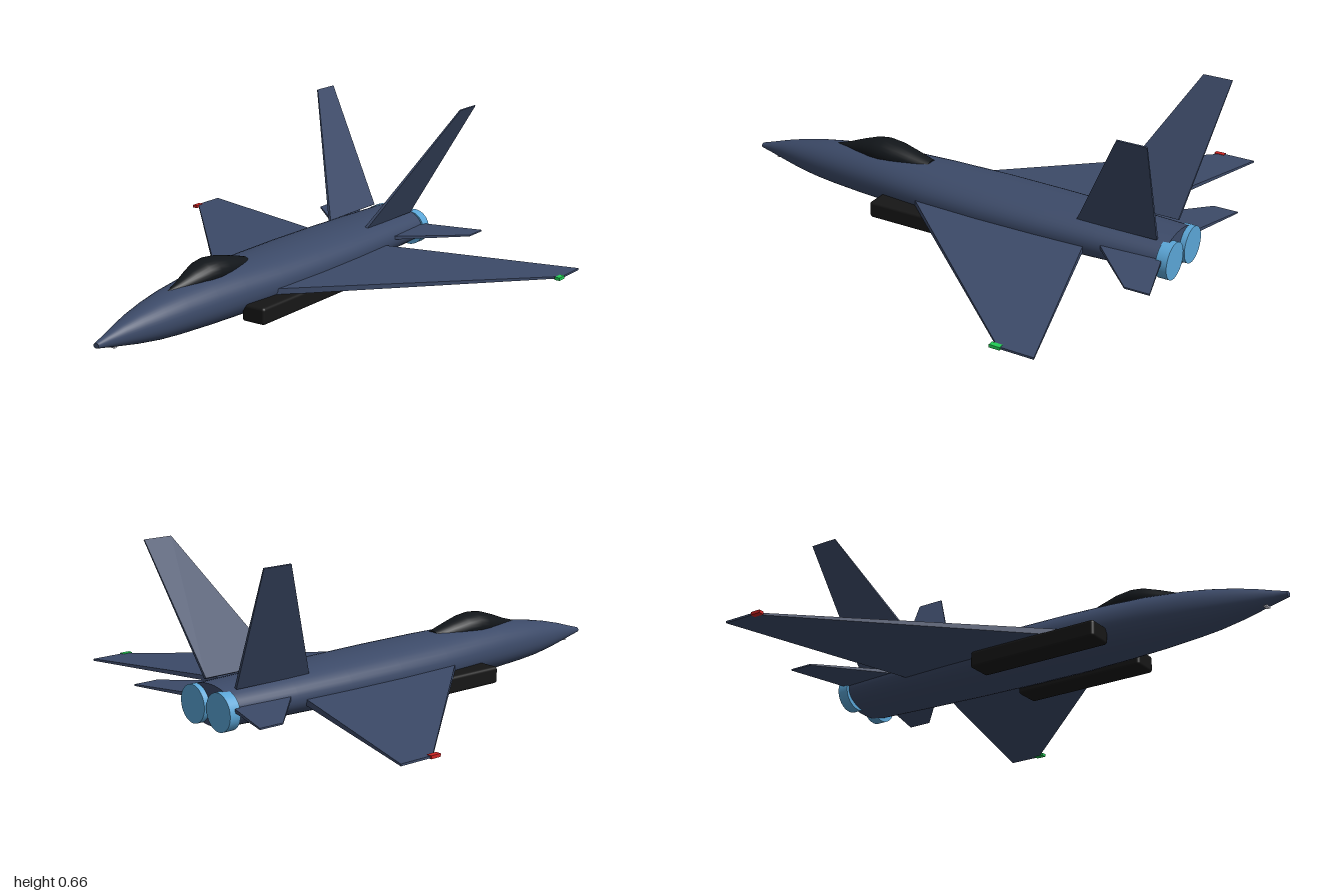
import * as THREE from 'three';
import { ConvexGeometry } from 'three/addons/geometries/ConvexGeometry.js';
import { RoundedBoxGeometry } from 'three/addons/geometries/RoundedBoxGeometry.js';

const paint = (color) => new THREE.MeshStandardMaterial({ color });

// Skin through superellipse sections [z, halfWidth, top, bottom], nose first, with end caps
function loft(sections, sides, power) {
  const pos = [], idx = [];
  const ring = ([z, w, top, bot]) => {
    const first = pos.length / 3;
    for (let j = 0; j < sides; j++) {
      const a = (j / sides) * Math.PI * 2, c = Math.cos(a), s = Math.sin(a);
      const bend = (v) => Math.sign(v) * Math.abs(v) ** (2 / power);
      pos.push(w * bend(c), (top + bot) / 2 + bend(s) * (top - bot) / 2, z);
    }
    return first;
  };
  const starts = sections.map(ring);
  for (let i = 0; i + 1 < starts.length; i++) {
    for (let j = 0; j < sides; j++) {
      const k = (j + 1) % sides, a = starts[i], c = starts[i + 1];
      idx.push(a + j, c + j, a + k, a + k, c + j, c + k);
    }
  }
  // Separate cap vertices keep the end edges sharp
  [sections[0], sections[sections.length - 1]].forEach((s, end) => {
    const r = ring(s), mid = pos.length / 3;
    pos.push(0, (s[2] + s[3]) / 2, s[0]);
    for (let j = 0; j < sides; j++) {
      const k = (j + 1) % sides;
      if (end) idx.push(mid, r + k, r + j);
      else idx.push(mid, r + j, r + k);
    }
  });
  const g = new THREE.BufferGeometry();
  g.setAttribute('position', new THREE.Float32BufferAttribute(pos, 3));
  g.setIndex(idx);
  g.computeVertexNormals();
  return g;
}

// Tapered plate: leading and trailing corners of root and tip, with a thickness at each end
function panel(side, rootLead, rootTrail, tipLead, tipTrail, rootThick, tipThick) {
  const [a, b, c, d] = [rootLead, rootTrail, tipLead, tipTrail]
    .map(([x, y, z]) => new THREE.Vector3(x * side, y, z));
  const n = b.clone().sub(a).cross(c.clone().sub(a)).normalize();
  const points = [[a, rootThick], [b, rootThick], [c, tipThick], [d, tipThick]]
    .flatMap(([p, t]) => [p.clone().addScaledVector(n, t / 2), p.clone().addScaledVector(n, -t / 2)]);
  return new ConvexGeometry(points);
}

export function createModel() {
  const model = new THREE.Group();
  model.name = 'jetAircraft';
  const body = paint(0x3c4a68), dark = paint(0x12161a), black = paint(0x161616);
  const blue = paint(0x5aa5d6), red = paint(0xcc2222), green = paint(0x22cc55), white = paint(0xdddde8);

  const add = (name, geometry, material, x = 0, y = 0, z = 0) => {
    const mesh = new THREE.Mesh(geometry, material);
    mesh.name = name;
    mesh.position.set(x, y, z);
    model.add(mesh);
    return mesh;
  };

  // Fuselage
  add('fuselage', loft([
    [1, 0.012, 0.088, 0.068],
    [0.95, 0.022, 0.103, 0.058],
    [0.88, 0.041, 0.125, 0.045],
    [0.8, 0.062, 0.146, 0.031],
    [0.7, 0.084, 0.166, 0.018],
    [0.6, 0.101, 0.181, 0.011],
    [0.45, 0.121, 0.195, 0.005],
    [0.3, 0.136, 0.2, 0.002],
    [0.1, 0.155, 0.2, 0.002],
    [-0.15, 0.164, 0.198, 0.007],
    [-0.4, 0.163, 0.194, 0.012],
    [-0.65, 0.155, 0.189, 0.018],
    [-0.93, 0.14, 0.182, 0.025],
  ], 40, 2.15), body);

  // Cockpit canopy
  add('canopy', loft([
    [0.61, 0.008, 0.18, 0.15],
    [0.55, 0.024, 0.198, 0.15],
    [0.48, 0.045, 0.225, 0.15],
    [0.42, 0.061, 0.245, 0.15],
    [0.37, 0.066, 0.251, 0.15],
    [0.31, 0.062, 0.245, 0.15],
    [0.24, 0.05, 0.228, 0.15],
    [0.155, 0.036, 0.205, 0.15],
  ], 24, 2.1), dark);

  // Paired parts; the left side is +x
  for (const side of [1, -1]) {
    const label = side > 0 ? 'left' : 'right';
    add(label + 'Wing', panel(side, [0.1, 0.085, 0.19], [0.1, 0.085, -0.595],
      [0.925, 0.08, -0.7], [0.925, 0.08, -0.84], 0.026, 0.008), body);
    add(label + 'Tailplane', panel(side, [0.1, 0.113, -0.633], [0.1, 0.113, -0.915],
      [0.385, 0.113, -0.9], [0.385, 0.113, -1], 0.016, 0.006), body);
    add(label + 'Fin', panel(side, [0.092, 0.175, -0.553], [0.092, 0.175, -0.885],
      [0.36, 0.66, -0.835], [0.36, 0.66, -0.953], 0.012, 0.005), body);
    add(label + 'Intake', new RoundedBoxGeometry(0.106, 0.068, 0.555, 3, 0.012), black,
      side * 0.162, 0.04, 0.033);
    const nozzle = new THREE.CylinderGeometry(0.073, 0.073, 0.045, 32);
    nozzle.rotateX(Math.PI / 2);
    add(label + 'Nozzle', nozzle, blue, side * 0.078, 0.096, -0.93);
    add(label + 'WingLight', new THREE.BoxGeometry(0.022, 0.012, 0.042), side > 0 ? green : red,
      side * 0.92, 0.08, -0.69);
  }

  // Small lamp under the nose
  add('noseLight', new THREE.BoxGeometry(0.024, 0.01, 0.014), white, 0, 0.052, 0.912);

  return model;
}
